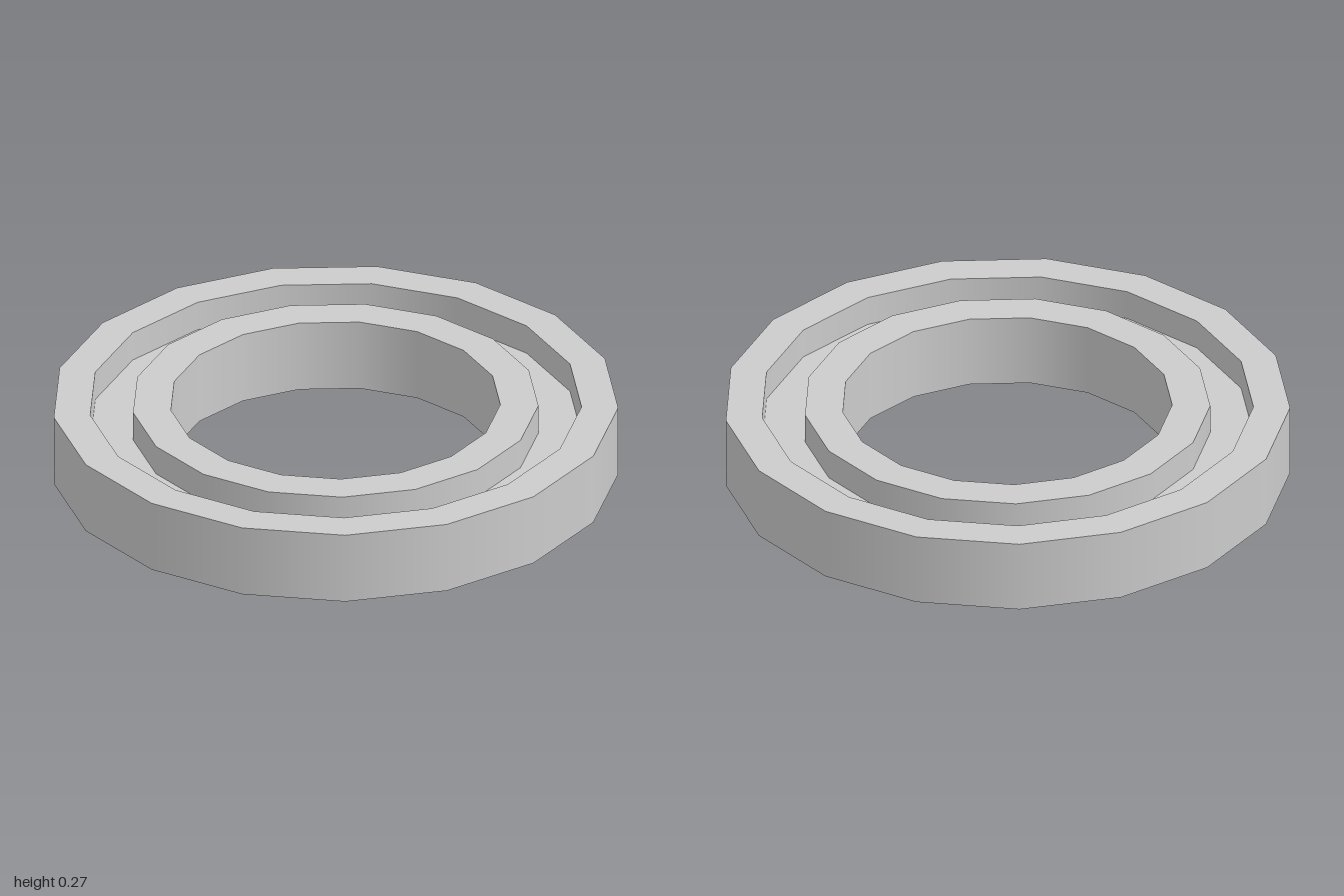
import * as THREE from 'three';
import { mergeGeometries } from 'three/addons/utils/BufferGeometryUtils.js';

const SIDES = 17;
const HEIGHT = 0.267;
const RECESS = 0.11; // groove depth, above and below the web
const material = new THREE.MeshStandardMaterial({ color: 0xcccccc });

// Ring of rectangular section: each face is its own strip, so the walls are
// smooth around the ring while the rims stay sharp.
function ring(name, inner, outer, bottom, top) {
  const corners = [[inner, bottom], [outer, bottom], [outer, top], [inner, top]]
    .map(([r, y]) => new THREE.Vector2(r, y));
  const strips = corners.map((p, i) =>
    new THREE.LatheGeometry([p, corners[(i + 1) % 4]], SIDES, Math.PI));
  const mesh = new THREE.Mesh(mergeGeometries(strips), material);
  mesh.name = name;
  return mesh;
}

export function createModel() {
  const group = new THREE.Group();
  group.name = 'ringBearing';
  const body = new THREE.Group();
  body.name = 'rings';
  body.add(
    ring('outerRing', 0.874, 1.004, 0, HEIGHT),
    ring('innerRing', 0.586, 0.721, 0, HEIGHT),
    // thin web joining the two rings at mid height
    ring('web', 0.721, 0.874, RECESS, HEIGHT - RECESS)
  );
  // the odd number of sides is longer towards the back, so recentre it
  body.position.z = 0.0086;
  group.add(body);
  return group;
}
